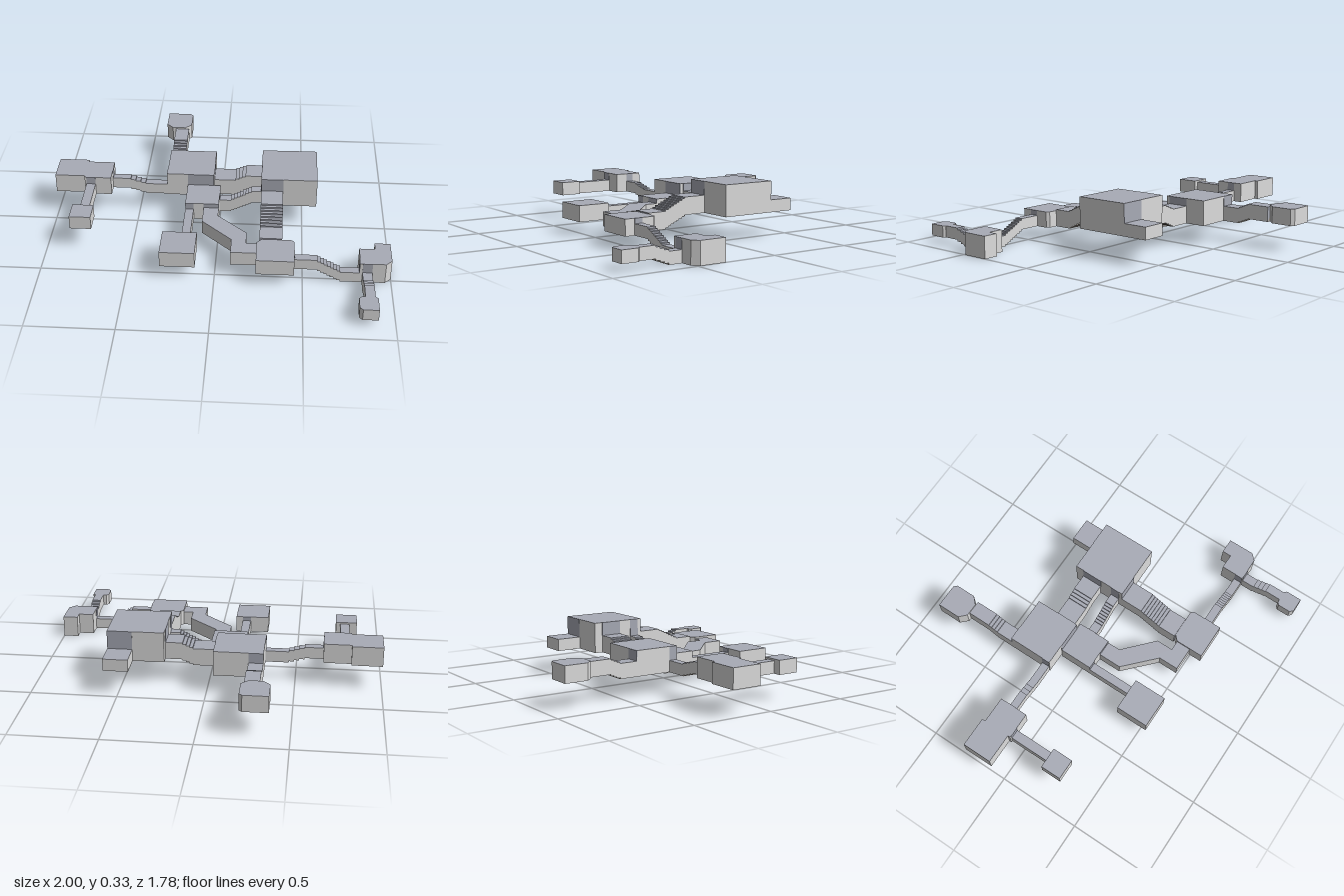
import * as THREE from 'three';

const mat = (name, color) => {
  const m = new THREE.MeshStandardMaterial({ color });
  m.name = name;
  return m;
};

export function createModel() {
  const model = new THREE.Group();
  model.name = 'undergroundComplex';
  const mats = [mat('paleWall', 0xdcdcdc), mat('blueGreyRoof', 0xa8abb6), mat('brownFloor', 0xb0a89c)];
  const [WALL, ROOF, FLOOR] = [0, 1, 2];

  // Give every triangle a wall, roof or floor material through geometry groups
  function addPainted(name, geo, pick) {
    const p = geo.attributes.position;
    const tri = new THREE.Triangle(), n = new THREE.Vector3(), c = new THREE.Vector3();
    geo.clearGroups();
    for (let i = 0; i < p.count; i += 3) {
      tri.setFromAttributeAndIndices(p, i, i + 1, i + 2);
      geo.addGroup(i, 3, pick(tri.getNormal(n), tri.getMidpoint(c)));
    }
    const mesh = new THREE.Mesh(geo, mats);
    mesh.name = name;
    model.add(mesh);
  }

  // Flat-roofed room over a plan outline of [x, z] points
  function room(name, plan, y0, y1) {
    const shape = new THREE.Shape(plan.map(([x, z]) => new THREE.Vector2(x, -z)));
    const geo = new THREE.ExtrudeGeometry(shape, { depth: y1 - y0, bevelEnabled: false });
    geo.rotateX(-Math.PI / 2).translate(0, y0, 0);
    addPainted(name, geo, n => (n.y > 0.5 ? ROOF : n.y < -0.5 ? FLOOR : WALL));
  }

  // Rectangular plan; cuts chamfer the corners: back left, back right, front right, front left on the plan
  function rect(x0, x1, z0, z1, cuts = [0, 0, 0, 0]) {
    const corners = [[x0, z0, 1, 1], [x1, z0, -1, 1], [x1, z1, -1, -1], [x0, z1, 1, -1]];
    return corners.flatMap(([x, z, sx, sz], i) => {
      const c = cuts[i];
      if (!c) return [[x, z]];
      const alongX = [x + sx * c, z], alongZ = [x, z + sz * c];
      return i % 2 ? [alongX, alongZ] : [alongZ, alongX];
    });
  }

  // Passage along x or z with steps in both floor and ceiling between s0 and s1
  function stairs(name, axis, [u0, s0, s1, u1], [w0, w1], a, b, h, steps) {
    const low = [[u0, a]];
    for (let i = 0; i < steps; i++) {
      const u = s0 + (s1 - s0) * i / (steps - 1);
      low.push([u, a + (b - a) * i / steps], [u, a + (b - a) * (i + 1) / steps]);
    }
    low.push([u1, b]);
    const high = low.map(([u, y]) => [u, y + h]).reverse();
    const shape = new THREE.Shape([...low, ...high].map(([u, y]) => new THREE.Vector2(u, y)));
    const geo = new THREE.ExtrudeGeometry(shape, { depth: w1 - w0, bevelEnabled: false });
    if (axis === 'x') geo.translate(0, 0, w0);
    else geo.rotateY(-Math.PI / 2).translate(w1, 0, 0);
    addPainted(name, geo, (n, c) => {
      if (Math.abs(axis === 'x' ? n.z : n.x) > 0.5) return WALL;
      const t = THREE.MathUtils.clamp((c[axis] - s0) / (s1 - s0), 0, 1);
      return c.y > a + (b - a) * t + h / 2 ? ROOF : FLOOR;
    });
  }

  // Thin panel above a doorway, on a wall facing along the given axis
  function lintel(axis, at, [w0, w1], y0, y1) {
    const w = w1 - w0, h = y1 - y0, mid = (w0 + w1) / 2, t = 0.004;
    const box = axis === 'x' ? new THREE.BoxGeometry(t, h, w) : new THREE.BoxGeometry(w, h, t);
    const mesh = new THREE.Mesh(box, mats[ROOF]);
    mesh.name = 'doorLintel';
    mesh.position.set(axis === 'x' ? at : mid, (y0 + y1) / 2, axis === 'x' ? mid : at);
    model.add(mesh);
  }

  // Rooms
  room('northWestHall', rect(-0.325, -0.04, -0.4, -0.13), 0.115, 0.263);
  room('centreRoom', rect(-0.2, 0, -0.13, 0.07), 0.078, 0.19);
  room('greatHall', rect(0.25, 0.58, -0.325, 0), 0.148, 0.33);
  room('greatHallAnnex', rect(0.435, 0.58, -0.475, -0.325), 0.148, 0.22);
  room('northRoom', rect(-0.385, -0.225, -0.89, -0.71, [0, 0.018, 0.04, 0.04]), 0.148, 0.245);
  room('westOuterRoom', rect(-1, -0.82, -0.255, -0.075), 0.148, 0.265);
  room('westInnerRoom', rect(-0.82, -0.66, -0.235, -0.06), 0.148, 0.265);
  room('westCell', rect(-0.855, -0.73, 0.18, 0.305), 0.148, 0.23);
  room('southRoom', rect(-0.31, -0.11, 0.34, 0.54), 0.078, 0.175);
  room('southEastRoom', rect(0.235, 0.45, 0.38, 0.58, [0.03, 0.015, 0, 0]), 0.078, 0.173);
  room('eastRoom', [[0.82, 0.38], [0.91, 0.38], [0.91, 0.325], [1, 0.325],
    [1, 0.485], [0.965, 0.52], [0.82, 0.52]], 0, 0.13);
  room('eastCell', rect(0.8, 0.905, 0.78, 0.89, [0.015, 0.012, 0, 0.018]), 0.04, 0.11);

  // Level passages
  room('westCellPassage', rect(-0.81, -0.755, -0.06, 0.18), 0.148, 0.22);
  room('southPassage', rect(-0.2, -0.15, 0.07, 0.34), 0.078, 0.15);
  room('crookedPassage', [[-0.09, 0.07], [0, 0.07], [0, 0.15], [0.175, 0.31], [0.175, 0.41],
    [0.24, 0.41], [0.24, 0.5], [0.09, 0.5], [0.09, 0.38], [-0.09, 0.21]], 0.078, 0.163);

  // Stepped passages
  stairs('westStairs', 'x', [-0.66, -0.55, -0.46, -0.325], [-0.182, -0.135], 0.148, 0.115, 0.068, 4);
  stairs('northStairs', 'z', [-0.71, -0.57, -0.51, -0.4], [-0.325, -0.24], 0.148, 0.115, 0.088, 4);
  stairs('hallStairs', 'x', [-0.04, 0.09, 0.15, 0.25], [-0.275, -0.15], 0.115, 0.148, 0.103, 4);
  stairs('narrowStairs', 'x', [0, 0.07, 0.19, 0.25], [-0.075, -0.02], 0.078, 0.148, 0.08, 8);
  stairs('wideStairs', 'z', [0, 0.14, 0.27, 0.38], [0.25, 0.38], 0.148, 0.078, 0.102, 8);
  stairs('eastStairs', 'x', [0.45, 0.58, 0.71, 0.82], [0.47, 0.52], 0.078, 0, 0.065, 8);
  stairs('eastCellStairs', 'z', [0.52, 0.6, 0.68, 0.78], [0.835, 0.89], 0, 0.04, 0.07, 4);

  // Panels above the doorways
  lintel('z', -0.13, [-0.2, -0.04], 0.19, 0.263);
  lintel('z', 0, [0.25, 0.38], 0.25, 0.33);
  lintel('z', -0.325, [0.435, 0.58], 0.22, 0.33);
  lintel('z', -0.4, [-0.325, -0.24], 0.203, 0.263);
  lintel('z', -0.06, [-0.81, -0.755], 0.22, 0.265);
  lintel('z', 0.07, [-0.09, 0], 0.163, 0.19);
  lintel('z', 0.07, [-0.2, -0.15], 0.15, 0.19);
  lintel('z', 0.34, [-0.2, -0.15], 0.15, 0.175);
  lintel('z', 0.52, [0.835, 0.89], 0.07, 0.13);
  lintel('x', -0.325, [-0.182, -0.135], 0.183, 0.263);
  lintel('x', -0.66, [-0.182, -0.135], 0.216, 0.265);
  lintel('x', -0.04, [-0.275, -0.15], 0.218, 0.263);
  lintel('x', 0.25, [-0.275, -0.15], 0.251, 0.33);
  lintel('x', 0, [-0.075, -0.02], 0.158, 0.19);
  lintel('x', 0.25, [-0.075, -0.02], 0.228, 0.33);
  lintel('x', 0.45, [0.47, 0.52], 0.143, 0.173);
  lintel('x', 0.82, [0.47, 0.52], 0.065, 0.13);

  return model;
}
